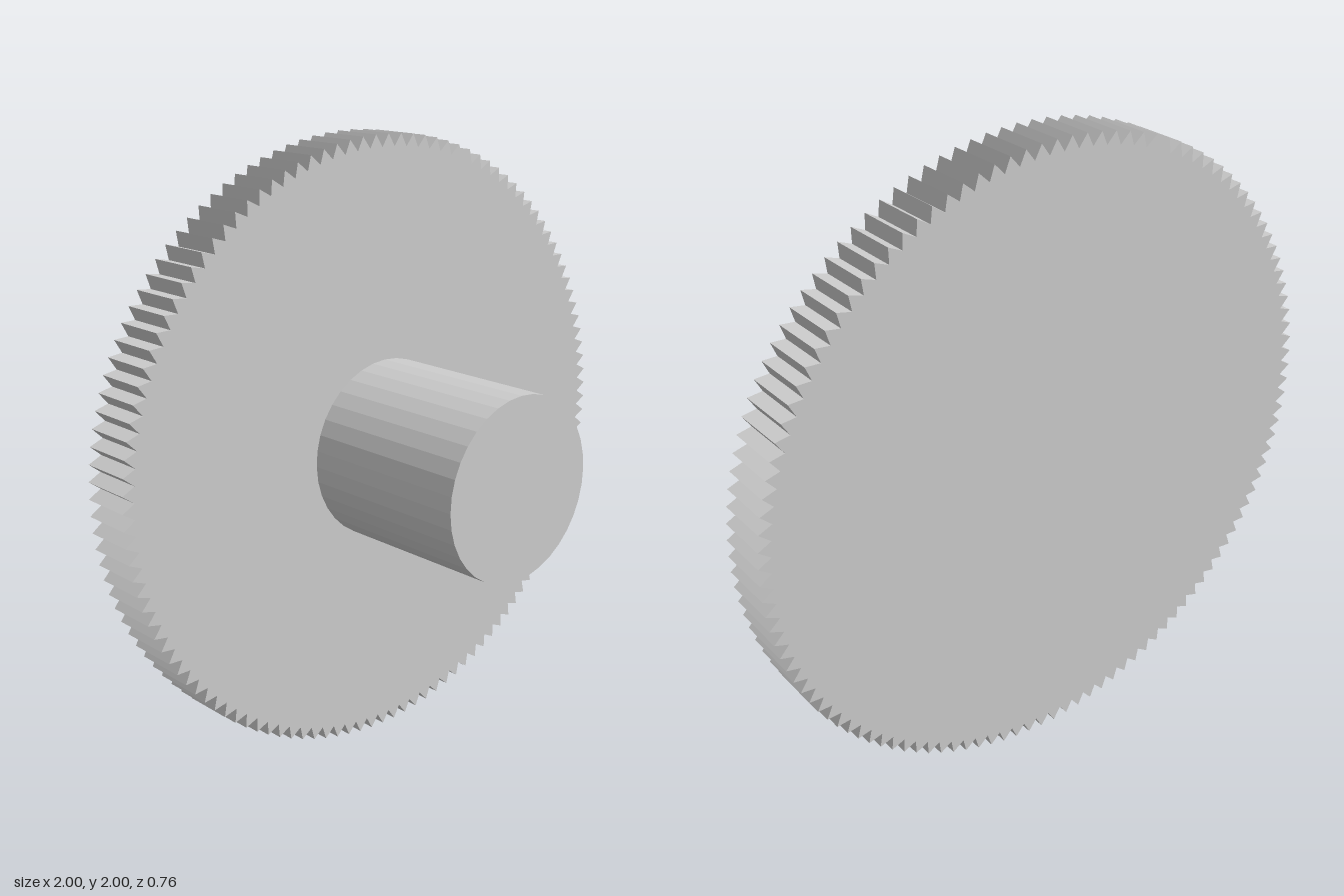
import * as THREE from 'three';

const TEETH = 120, TIP = 1.0, ROOT = 0.96;
const BACK = -0.382, FACE = -0.207, FRONT = 0.382;

export function createModel() {
  const group = new THREE.Group();
  group.name = 'gearWheel';
  const material = new THREE.MeshStandardMaterial({ color: 0xcccccc, flatShading: true });

  // Toothed disc: outline alternates between root and tip radius
  const outline = [];
  for (let i = 0; i < TEETH * 2; i++) {
    const angle = (i * Math.PI) / TEETH;
    const r = i % 2 ? TIP : ROOT;
    outline.push(new THREE.Vector2(Math.cos(angle) * r, Math.sin(angle) * r));
  }
  const disc = new THREE.Mesh(
    new THREE.ExtrudeGeometry(new THREE.Shape(outline), { depth: FACE - BACK, bevelEnabled: false }),
    material
  );
  disc.name = 'toothedDisc';
  disc.position.set(0, 1, BACK);
  group.add(disc);

  // Solid hub standing out from the front face
  const length = FRONT - FACE;
  const hub = new THREE.Mesh(new THREE.CylinderGeometry(0.293, 0.293, length, 36), material);
  hub.name = 'hub';
  hub.rotation.x = Math.PI / 2;
  hub.position.set(0, 1, FACE + length / 2);
  group.add(hub);

  return group;
}
